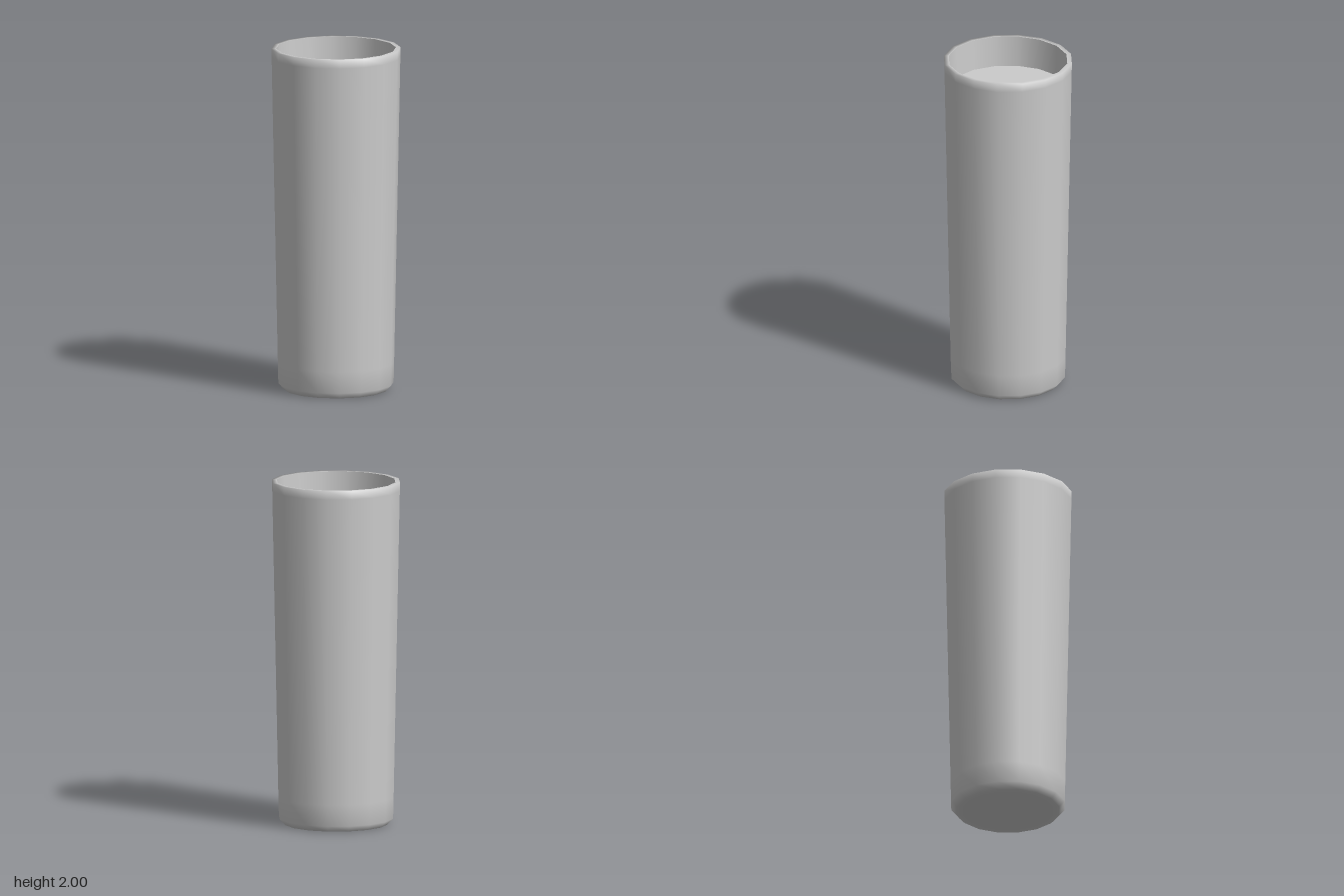
import * as THREE from 'three';

const SIDES = 16;

// Turns a list of [radius, height] pairs into a mesh of revolution
function turned(name, profile, material) {
  const points = profile.map(([r, y]) => new THREE.Vector2(r, y));
  const mesh = new THREE.Mesh(new THREE.LatheGeometry(points, SIDES), material);
  mesh.name = name;
  return mesh;
}

export function createModel() {
  const group = new THREE.Group();
  group.name = 'tumbler';
  const grey = new THREE.MeshStandardMaterial({ color: 0xcccccc });

  // Base, bevelled foot, tapering wall and rim, shaded smoothly as one skin
  group.add(turned('outerWall', [
    [0, 0], [0.26, 0], [0.3, 0], [0.333, 0.035], [0.336, 0.16],
    [0.372, 1.95], [0.373, 2], [0.346, 2],
  ], grey));

  // Short inner wall from the rim down to the filling
  group.add(turned('innerWall', [[0.346, 2], [0.338, 1.82]], grey));

  // Flat surface of the filling
  group.add(turned('fillSurface', [[0.338, 1.82], [0, 1.82]], grey));

  return group;
}
